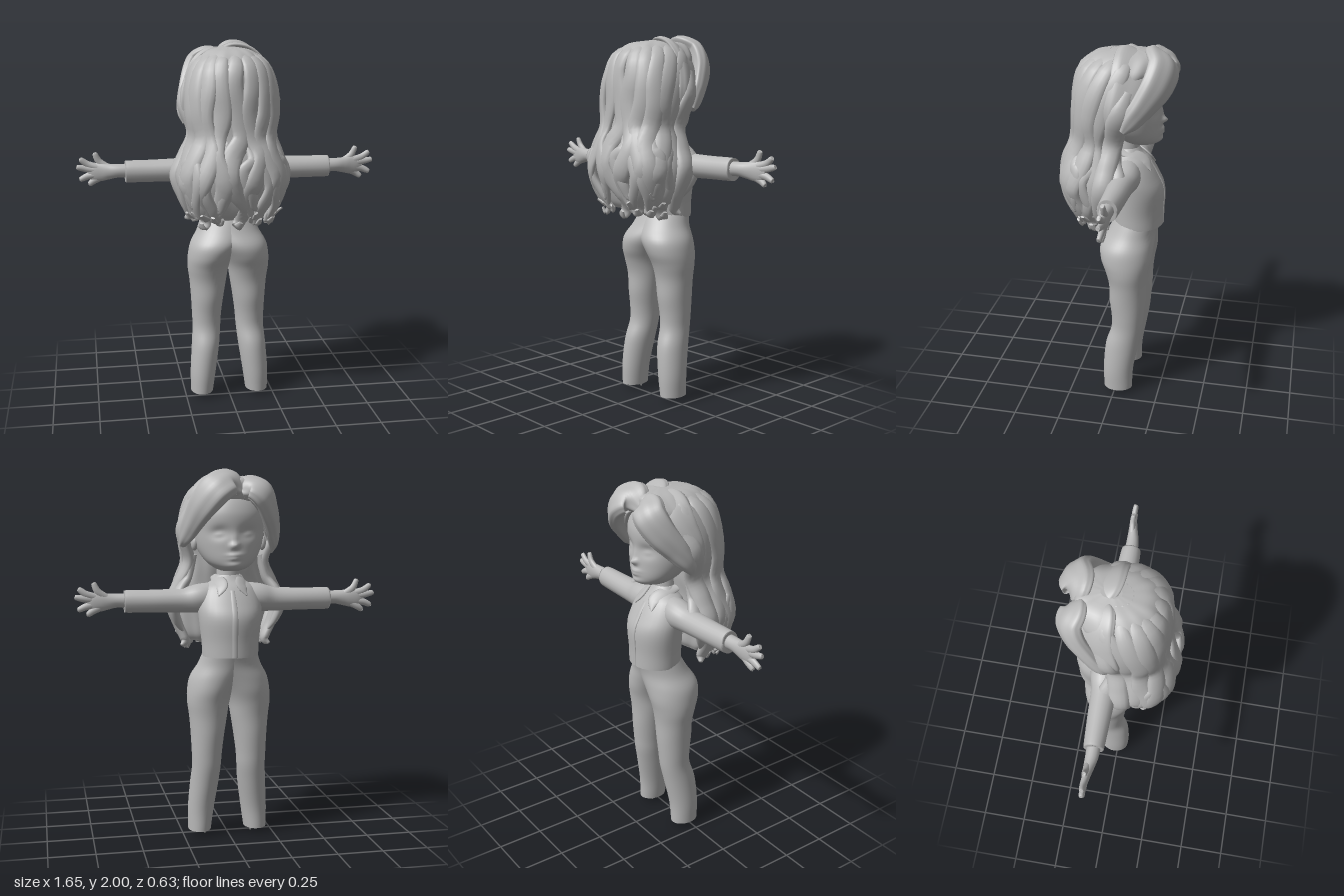
import * as THREE from 'three';

const clay = new THREE.MeshStandardMaterial({ color: 0xb8b8b8 });
clay.name = 'clay grey';

const V = (x, y, z) => new THREE.Vector3(x, y, z);
const spow = (v, p) => Math.sign(v) * Math.pow(Math.abs(v), p);
const mirror = (pts, s) => pts.map(p => [s * p[0], ...p.slice(1)]);

// Smooth closed loft through points [x, y, z, halfWidth, halfDepth].
function loft(pts, { steps = 28, n = 20, flat = false, hint = () => V(0, 0, 1), pow = 1, bump = () => 1 } = {}) {
  const path = new THREE.CatmullRomCurve3(pts.map(p => V(p[0], p[1], p[2])), false, 'catmullrom', 0.5);
  const size = new THREE.CatmullRomCurve3(pts.map(p => V(p[3], p[4], 0)), false, 'catmullrom', 0.5);
  const up = V(0, Math.sign(pts[pts.length - 1][1] - pts[0][1]), 0);
  const pos = [], idx = [];
  for (let i = 0; i <= steps; i++) {
    const t = i / steps, c = path.getPoint(t), r = size.getPoint(t);
    const T = flat ? up : path.getTangent(t);
    const side = T.clone().cross(hint(c)).normalize(), nrm = side.clone().cross(T);
    for (let j = 0; j < n; j++) {
      const a = (j / n) * Math.PI * 2, k = bump(a, c);
      const p = c.clone().addScaledVector(side, r.x * k * spow(Math.cos(a), pow))
        .addScaledVector(nrm, r.y * k * spow(Math.sin(a), pow));
      pos.push(p.x, p.y, p.z);
    }
  }
  for (let i = 0; i < steps; i++) for (let j = 0; j < n; j++) {
    const a = i * n + j, b = i * n + (j + 1) % n;
    idx.push(a, a + n, b, b, a + n, b + n);
  }
  // End caps with their own corners, so the rims stay crisp
  for (const end of [0, steps]) {
    const base = pos.length / 3, c = path.getPoint(end / steps);
    pos.push(...pos.slice(end * n * 3, (end + 1) * n * 3), c.x, c.y, c.z);
    for (let j = 0; j < n; j++) {
      const a = base + j, b = base + (j + 1) % n;
      if (end) idx.push(base + n, b, a); else idx.push(base + n, a, b);
    }
  }
  const g = new THREE.BufferGeometry();
  g.setAttribute('position', new THREE.Float32BufferAttribute(pos, 3));
  g.setIndex(idx);
  g.computeVertexNormals();
  return g;
}

// Hair volume: [x, y, z, halfWidth, halfDepth] from crown to tips
const hairMass = [
  [0, 1.975, -0.05, 0.03, 0.05], [0, 1.955, -0.04, 0.12, 0.165], [0, 1.9, -0.015, 0.185, 0.205],
  [0, 1.85, 0.005, 0.21, 0.205], [0, 1.8, 0.04, 0.222, 0.18], [0, 1.7, 0.075, 0.238, 0.15],
  [0, 1.6, 0.095, 0.226, 0.133], [0, 1.5, 0.105, 0.21, 0.135], [0, 1.4, 0.13, 0.24, 0.138],
  [0, 1.3, 0.14, 0.26, 0.138], [0, 1.2, 0.135, 0.248, 0.12], [0, 1.12, 0.125, 0.22, 0.1],
  [0, 1.08, 0.12, 0.19, 0.075],
];

// Point on the hair volume: phi 0 is the middle of the back
function onHair(phi, y, out) {
  let i = 0;
  while (i < hairMass.length - 2 && hairMass[i + 1][1] > y) i++;
  const a = hairMass[i], b = hairMass[i + 1], t = Math.min(1, (a[1] - y) / (a[1] - b[1]));
  const m = k => a[k] + (b[k] - a[k]) * t;
  return [(m(3) + out) * spow(Math.sin(phi), 0.85), y, m(2) + (m(4) + out) * spow(Math.cos(phi), 0.85)];
}
const outward = c => V(c.x, c.y - Math.min(c.y, 1.7), c.z - 0.02);

export function createModel() {
  const root = new THREE.Group();
  const add = (name, geo, parent = root) => {
    const m = new THREE.Mesh(geo, clay);
    m.name = name;
    parent.add(m);
  };
  const group = name => {
    const g = new THREE.Group();
    g.name = name;
    root.add(g);
    return g;
  };

  // Trousers: the two halves share the waist and part below the seat
  const trousers = group('trousers');
  for (const s of [1, -1]) {
    add('trouserLeg', loft(mirror([[0, 1.04, -0.1, 0.147, 0.126], [0.025, 0.97, -0.074, 0.148, 0.133],
      [0.067, 0.9, -0.053, 0.145, 0.147], [0.098, 0.83, -0.053, 0.129, 0.14], [0.113, 0.76, -0.06, 0.116, 0.119],
      [0.115, 0.68, -0.065, 0.104, 0.104], [0.119, 0.58, -0.065, 0.092, 0.1], [0.123, 0.48, -0.067, 0.083, 0.09],
      [0.125, 0.4, -0.062, 0.079, 0.087], [0.134, 0.3, -0.038, 0.078, 0.093], [0.15, 0.15, -0.02, 0.072, 0.085],
      [0.158, 0.03, -0.02, 0.063, 0.08]], s), { flat: true, n: 40, steps: 48 }), trousers);
    // Ragged stub under the hem
    for (const [x, z, r, h] of [[0.13, -0.04, 0.02, 0.04], [0.15, -0.02, 0.03, 0.025], [0.16, -0.06, 0.02, 0.02]])
      add('ankleStub', new THREE.ConeGeometry(r, h, 5).rotateX(Math.PI).translate(s * x, 0.04 - h / 2, z), trousers);
  }

  // Shirt with placket and collar
  const shirt = group('shirt');
  add('shirtBody', loft([[0, 1.018, -0.106, 0.152, 0.134], [0, 1.1, -0.105, 0.156, 0.135], [0, 1.22, -0.105, 0.17, 0.138],
    [0, 1.3, -0.085, 0.172, 0.125], [0, 1.38, -0.062, 0.145, 0.1], [0, 1.42, -0.05, 0.092, 0.072],
    [0, 1.45, -0.045, 0.065, 0.055]], { flat: true, n: 32 }), shirt);
  add('placket', loft([[0, 1.02, -0.237, 0.016, 0.006], [0, 1.1, -0.238, 0.016, 0.006], [0, 1.22, -0.241, 0.016, 0.006],
    [0, 1.3, -0.208, 0.016, 0.006], [0, 1.37, -0.165, 0.014, 0.006]], { n: 8 }), shirt);
  for (const s of [1, -1]) {
    add('collarFlap', loft(mirror([[0.075, 1.44, -0.01, 0.02, 0.008], [0.066, 1.42, -0.09, 0.036, 0.009],
      [0.055, 1.39, -0.145, 0.036, 0.009], [0.075, 1.345, -0.178, 0.004, 0.004]], s),
      { n: 12, hint: () => V(s * 0.5, 0.6, -0.8) }), shirt);
  }

  // Arms and hands
  for (const s of [1, -1]) {
    const arm = group(s > 0 ? 'leftArm' : 'rightArm');
    const limb = (name, pts, o) => add(name, loft(mirror(pts, s), o), arm);
    limb('sleeve', [[0.08, 1.33, -0.06, 0.08, 0.07], [0.16, 1.325, -0.06, 0.078, 0.078], [0.25, 1.315, -0.053, 0.066, 0.067],
      [0.4, 1.313, -0.052, 0.061, 0.06], [0.55, 1.313, -0.05, 0.06, 0.053], [0.56, 1.313, -0.05, 0.054, 0.048]]);
    limb('palm', [[0.52, 1.316, -0.05, 0.04, 0.036], [0.6, 1.318, -0.05, 0.037, 0.034], [0.65, 1.315, -0.055, 0.043, 0.029],
      [0.69, 1.313, -0.06, 0.05, 0.024], [0.73, 1.312, -0.063, 0.049, 0.018], [0.76, 1.312, -0.064, 0.028, 0.01]]);
    // Thumb, then four spread fingers: base, middle and tip
    const fingers = [['thumb', 0.65, 1.33, 0.7, 1.367, 0.722, 1.41], ['finger', 0.7, 1.335, 0.76, 1.354, 0.798, 1.382],
      ['finger', 0.71, 1.322, 0.77, 1.331, 0.816, 1.34], ['finger', 0.71, 1.3, 0.762, 1.291, 0.802, 1.274],
      ['finger', 0.68, 1.292, 0.727, 1.268, 0.755, 1.248]];
    for (const [name, x0, y0, x1, y1, x2, y2] of fingers) {
      limb(name, [[x0, y0, -0.06, 0.022, 0.018], [x1, y1, -0.066, 0.019, 0.015], [x2, y2, -0.064, 0.014, 0.012],
        [x2 + (x2 - x1) * 0.12, y2 + (y2 - y1) * 0.12, -0.064, 0.005, 0.005]], { n: 12, steps: 14 });
    }
  }

  // Head: soft swells and hollows [x, y, radiusX, radiusY, depth] shape the face
  const head = group('head');
  const skull = loft([[0, 1.475, -0.115, 0.05, 0.06], [0, 1.492, -0.115, 0.09, 0.095], [0, 1.53, -0.095, 0.135, 0.128],
    [0, 1.6, -0.06, 0.175, 0.163], [0, 1.68, -0.043, 0.193, 0.18], [0, 1.78, -0.04, 0.193, 0.185],
    [0, 1.87, -0.035, 0.15, 0.15], [0, 1.92, -0.03, 0.08, 0.08]], { flat: true, n: 80, steps: 70 });
  const features = [[0, 1.608, 0.02, 0.017, -0.028], [0, 1.64, 0.014, 0.03, -0.008], [0, 1.56, 0.035, 0.01, -0.012],
    [0, 1.541, 0.03, 0.01, -0.011], [0, 1.505, 0.04, 0.018, -0.01], [0.075, 1.675, 0.045, 0.032, 0.018],
    [-0.075, 1.675, 0.045, 0.032, 0.018], [0.077, 1.668, 0.024, 0.014, -0.008], [-0.077, 1.668, 0.024, 0.014, -0.008]];
  const p = skull.attributes.position;
  for (let i = 0; i < p.count; i++) {
    if (p.getZ(i) > -0.1) continue;
    let z = p.getZ(i);
    for (const [x, y, rx, ry, d] of features) z += d * Math.exp(-(((p.getX(i) - x) / rx) ** 2) - ((p.getY(i) - y) / ry) ** 2);
    p.setZ(i, z);
  }
  skull.computeVertexNormals();
  add('face', skull, head);
  add('neck', new THREE.CylinderGeometry(0.058, 0.065, 0.14, 20).translate(0, 1.45, -0.04), head);
  for (const s of [1, -1])
    add('ear', new THREE.SphereGeometry(1, 16, 12).scale(0.02, 0.04, 0.03).translate(s * 0.185, 1.62, -0.06), head);

  // Hair volume with soft grooves running from the crown
  const hair = group('hair');
  add('hairVolume', loft(hairMass, { flat: true, n: 96, steps: 60, pow: 0.85,
    bump: (a, c) => 1 + 0.016 * Math.sin(a * 13 + 2 * Math.sin(c.y * 9)) + 0.012 * Math.sin(a * 7 + c.y * 6) }), hair);
  const lock = (name, pts, o) => add(name, loft(pts, { n: 14, steps: 36, hint: outward, ...o }), hair);

  // Long broad wavy locks with curled tips
  const count = 11;
  for (let i = 0; i < count; i++) {
    const phi = -1.7 + (3.4 * i) / (count - 1), low = 0.03 * Math.sin(i * 2.3);
    const rows = [[1.965, 0.012, -0.015], [1.9, 0.04, -0.008], [1.78, 0.056, -0.006], [1.64, 0.058, -0.006],
      [1.52, 0.052, -0.004], [1.42, 0.054, 0.008], [1.3, 0.054, 0.014], [1.19 + low, 0.044, 0.006],
      [1.11 + low, 0.036, 0.004], [1.072 + low, 0.028, 0.018], [1.1 + low, 0.012, 0.038]];
    lock('longLock', rows.map(([y, w, out]) => {
      const wave = 0.16 * Math.sin(y * 15 + i * 1.9) * Math.min(1, (1.96 - y) * 1.8);
      return [...onHair(phi + wave, y, out), w, w * 0.48];
    }));
  }
  // Shorter curls over the lower half
  for (let i = 0; i < 10; i++) {
    const phi = -1.6 + (3.2 * i) / 9, low = 0.05 * Math.sin(i * 1.7), turn = i % 2 ? 0.2 : -0.2;
    const rows = [[1.5, 0.012, -0.005, 0], [1.41, 0.034, 0.008, 0.5], [1.31 + low, 0.038, 0.015, -0.5],
      [1.2 + low, 0.032, 0.015, 0.2], [1.12 + low, 0.024, 0.015, 0.8], [1.14 + low, 0.008, 0.028, 1.4]];
    lock('curl', rows.map(([y, w, out, k]) => [...onHair(phi + turn * k, y, out), w, w * 0.6]));
  }
  // Bulging side locks and curls by the shoulders
  for (const s of [1, -1]) {
    lock('sideLock', mirror([[0.2, 1.8, -0.08, 0.04, 0.03], [0.25, 1.68, -0.04, 0.055, 0.03], [0.205, 1.53, 0, 0.055, 0.03],
      [0.25, 1.41, 0.02, 0.055, 0.035], [0.298, 1.3, 0.035, 0.055, 0.033], [0.262, 1.18, 0.055, 0.046, 0.028],
      [0.225, 1.09, 0.04, 0.034, 0.024], [0.245, 1.06, 0.02, 0.01, 0.01]], s));
    lock('frontCurl', mirror([[0.19, 1.56, -0.02, 0.03, 0.025], [0.22, 1.43, -0.01, 0.04, 0.026], [0.275, 1.35, -0.045, 0.037, 0.026],
      [0.298, 1.28, -0.03, 0.034, 0.024], [0.275, 1.2, 0.0, 0.028, 0.02], [0.24, 1.14, 0.02, 0.008, 0.008]], s));
  }
  // Swept fringe with combed ridges: a thick front lock and a broad one behind, on each side of the parting
  const combed = { n: 40, steps: 44, bump: (a, c) => 1 + 0.035 * Math.sin(a * 7 + c.y * 8) };
  lock('fringe', [[-0.035, 1.9, -0.2, 0.045, 0.025], [0.03, 1.935, -0.21, 0.09, 0.042], [0.1, 1.902, -0.24, 0.095, 0.05],
    [0.165, 1.825, -0.217, 0.088, 0.045], [0.208, 1.74, -0.16, 0.07, 0.038], [0.24, 1.66, -0.097, 0.052, 0.03],
    [0.25, 1.61, -0.06, 0.02, 0.02]], combed);
  lock('fringe', [[-0.04, 1.92, -0.11, 0.07, 0.025], [0.03, 1.932, -0.11, 0.12, 0.03], [0.11, 1.897, -0.11, 0.13, 0.032],
    [0.182, 1.81, -0.09, 0.115, 0.034], [0.23, 1.7, -0.04, 0.08, 0.034], [0.235, 1.6, -0.01, 0.035, 0.02]], combed);
  lock('fringe', [[-0.04, 1.89, -0.2, 0.045, 0.025], [-0.09, 1.91, -0.21, 0.082, 0.038], [-0.145, 1.875, -0.227, 0.085, 0.045],
    [-0.19, 1.795, -0.192, 0.078, 0.042], [-0.225, 1.71, -0.128, 0.064, 0.036], [-0.245, 1.63, -0.067, 0.046, 0.03],
    [-0.235, 1.57, -0.035, 0.015, 0.015]], combed);
  lock('fringe', [[-0.04, 1.915, -0.11, 0.07, 0.025], [-0.09, 1.913, -0.11, 0.11, 0.03], [-0.15, 1.865, -0.11, 0.115, 0.032],
    [-0.198, 1.785, -0.085, 0.1, 0.034], [-0.235, 1.68, -0.035, 0.07, 0.034], [-0.23, 1.59, -0.01, 0.03, 0.02]], combed);

  return root;
}
